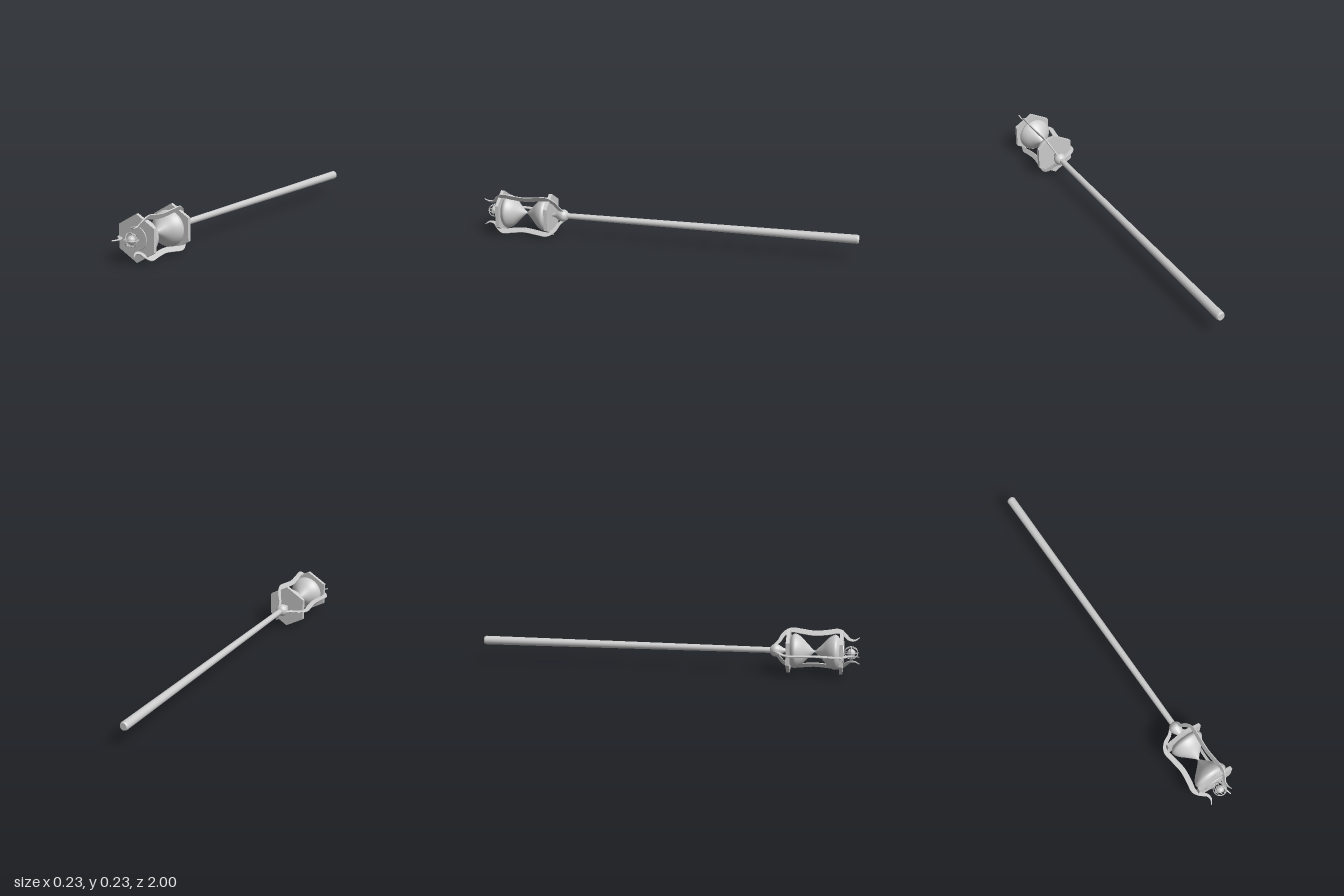
import * as THREE from 'three';

const V2 = (x, y) => new THREE.Vector2(x, y);

export function createModel() {
  const model = new THREE.Group();
  model.name = 'hourglassStaff';
  model.position.set(0.013, 0.116, 0); // axis of the staff, along z

  const smooth = new THREE.MeshStandardMaterial({ color: 0xcccccc });
  const flat = new THREE.MeshStandardMaterial({ color: 0xcccccc, flatShading: true });

  const add = (name, geometry, material = smooth) => {
    const mesh = new THREE.Mesh(geometry, material);
    mesh.name = name;
    model.add(mesh);
    return mesh;
  };
  // Turns a smooth [radius, z] profile, listed from back to front, around the staff axis
  const turned = (points, steps = 40) => {
    const curve = new THREE.SplineCurve(points.map(([r, z]) => V2(r, z)));
    const profile = curve.getPoints(steps).map(p => V2(Math.max(p.x, 0), p.y));
    return new THREE.LatheGeometry(profile, 40).rotateX(Math.PI / 2);
  };
  const rod = (rFront, rBack, z0, z1, sides) =>
    new THREE.CylinderGeometry(rFront, rBack, z1 - z0, sides)
      .rotateX(Math.PI / 2).translate(0, 0, (z0 + z1) / 2);

  // Tapered shaft with a softened butt
  add('shaft', rod(0.015, 0.023, -0.992, 0.56, 24));
  add('shaftButt', rod(0.023, 0.019, -1, -0.992, 24));

  // Teardrop collar where the arms meet the shaft
  add('collar', turned([[0, 0.537], [0.02, 0.542], [0.033, 0.562], [0.029, 0.583], [0.014, 0.608], [0.007, 0.63]]));

  // Hexagonal end plates
  for (const [name, z] of [['rearPlate', 0.634], ['frontPlate', 0.904]]) {
    add(name, rod(0.116, 0.116, z - 0.009, z + 0.009, 6), flat);
  }

  // Hourglass: two bulbs mirrored about the pinched neck
  const half = [[0.006, 0], [0.016, 0.014], [0.042, 0.04], [0.073, 0.07], [0.089, 0.097], [0.086, 0.113], [0.07, 0.127]];
  const mid = 0.769;
  add('glassBulbs', turned([
    ...half.slice(1).reverse().map(([r, d]) => [r, mid - d]),
    ...half.map(([r, d]) => [r, mid + d]),
  ], 80));

  // Round boss and caged ball on the front plate
  add('frontBoss', rod(0.058, 0.06, 0.91, 0.917, 40));
  const ballZ = 0.953;
  add('ball', new THREE.SphereGeometry(0.021, 24, 16).translate(0, 0, ballZ));
  for (let i = 0; i < 3; i++) {
    const ring = add('cageRing', new THREE.TorusGeometry(0.034, 0.0022, 8, 40).rotateY(Math.PI / 2));
    ring.rotation.z = i * Math.PI / 3 + 0.5;
    ring.position.z = ballZ;
  }
  add('cageHoop', new THREE.TorusGeometry(0.034, 0.0022, 8, 40)).position.z = ballZ;

  // Three flat curling arms: [radius, z, half width] along the arm
  const armPath = [
    [0.022, 0.553, 0.004], [0.048, 0.582, 0.008], [0.088, 0.606, 0.01], [0.111, 0.645, 0.012],
    [0.105, 0.7, 0.013], [0.097, 0.768, 0.013], [0.104, 0.835, 0.013], [0.112, 0.885, 0.012],
    [0.094, 0.917, 0.01], [0.07, 0.942, 0.007], [0.066, 0.97, 0.004], [0.081, 0.994, 0.0006],
  ];
  const centre = new THREE.SplineCurve(armPath.map(([r, z]) => V2(r, z)));
  const width = new THREE.SplineCurve(armPath.map(([, , w], i) => V2(i, w)));
  const outer = [], inner = [];
  for (let i = 0; i <= 72; i++) {
    const t = i / 72, p = centre.getPoint(t), d = centre.getTangent(t), w = width.getPoint(t).y;
    outer.push(V2(p.x + d.y * w, p.y - d.x * w));
    inner.push(V2(p.x - d.y * w, p.y + d.x * w));
  }
  const armGeometry = new THREE.ExtrudeGeometry(new THREE.Shape([...outer, ...inner.reverse()]), {
    depth: 0.003, bevelEnabled: true, bevelThickness: 0.0015, bevelSize: 0.001, bevelSegments: 1,
  }).translate(0, 0, -0.0015).rotateX(Math.PI / 2);
  for (let i = 0; i < 3; i++) {
    add('arm', armGeometry).rotation.z = THREE.MathUtils.degToRad(64 + i * 120);
  }

  const root = new THREE.Group();
  root.name = 'staff';
  root.add(model);
  return root;
}
